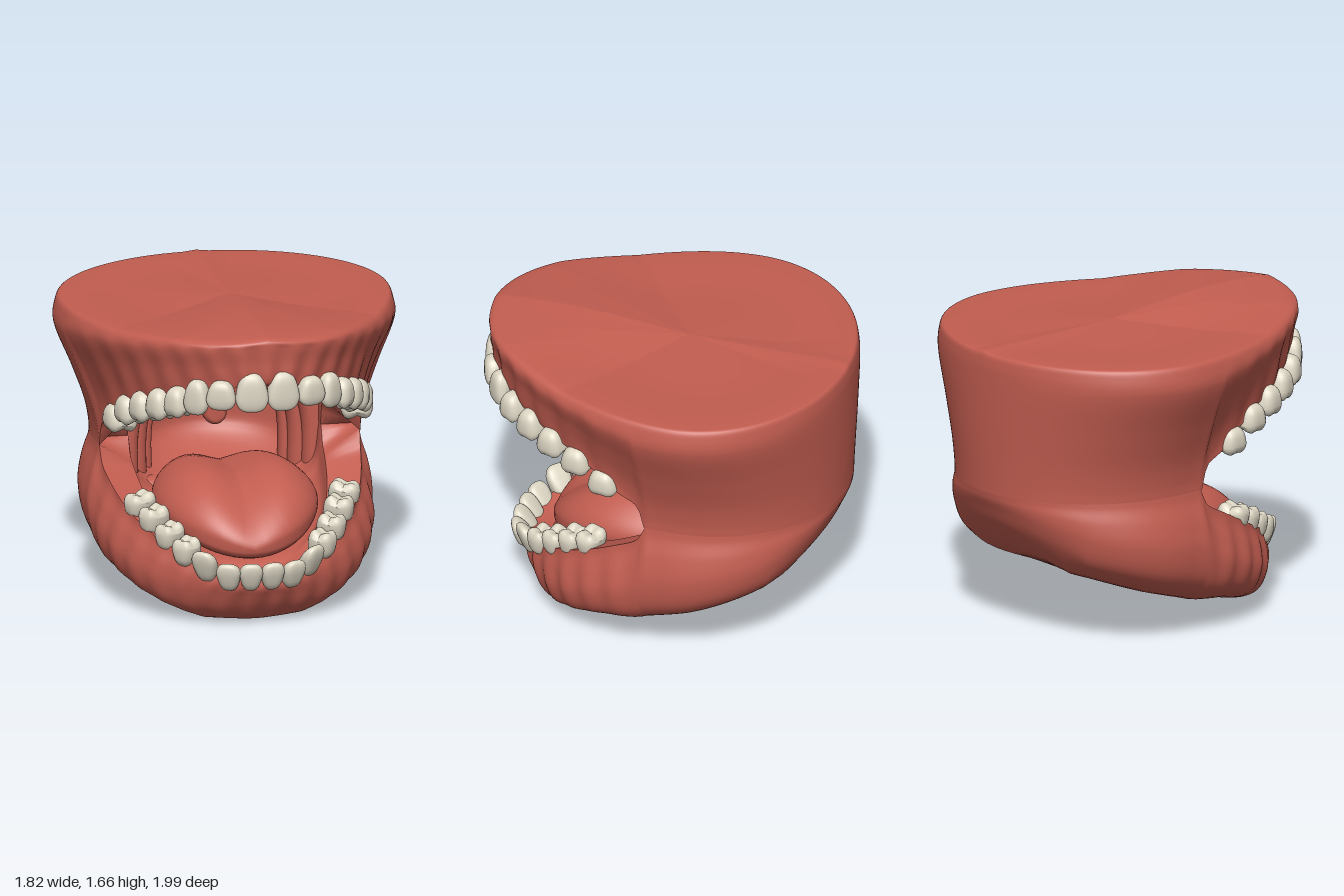
import * as THREE from 'three';
import { toCreasedNormals } from 'three/addons/utils/BufferGeometryUtils.js';

const flesh = new THREE.MeshStandardMaterial({ color: 0xc25d50, side: THREE.DoubleSide });
flesh.name = 'flesh red';
const ivory = new THREE.MeshStandardMaterial({ color: 0xdcd5c3 });
ivory.name = 'tooth ivory';

// Height as a function of depth, from a few [z, y] points running front to back
const along = (pts) => (z) => {
  if (z >= pts[0][0]) return pts[0][1];
  for (let i = 1; i < pts.length; i++) {
    const [z0, y0] = pts[i - 1], [z1, y1] = pts[i];
    if (z >= z1) return y0 + (y1 - y0) * (z0 - z) / (z0 - z1);
  }
  return pts[pts.length - 1][1];
};
const topY = along([[0.97, 1.65], [0.75, 1.668], [0.4, 1.655], [0.1, 1.61], [-0.2, 1.595], [-1, 1.585]]);
const roof = (z, x) => Math.max(1.578, topY(z) - 0.11 * Math.abs(x));
const upperLip = along([[0.95, 1.39], [0.74, 1.31], [0.48, 1.22], [0.33, 1.16], [0.17, 1.06], [0.08, 0.99], [0, 0.955], [-0.03, 0.935], [-0.05, 0.88], [-0.065, 0.81]]);
const palateY = along([[0.6, 1.42], [0.2, 1.38], [-0.1, 1.24], [-0.4, 1.12], [-0.75, 1.06]]);
const lowerLip = along([[0.77, 0.27], [0.68, 0.34], [0.57, 0.41], [0.47, 0.46], [0.37, 0.51], [0.27, 0.56], [0.1, 0.65], [0, 0.7], [-0.03, 0.725], [-0.05, 0.76], [-0.065, 0.81]]);
const floorY = along([[0.6, 0.3], [0, 0.4], [-0.75, 0.6]]);
const bottomY = along([[0.8, 0.08], [0.65, 0.01], [0.55, -0.005], [0.2, 0.105], [0, 0.14], [-0.3, 0.235], [-0.7, 0.38], [-0.9, 0.56], [-1, 0.68]]);
const mix = (f, g, t) => (z, x) => f(z, x) + (g(z, x) - f(z, x)) * t;

// Horseshoe ring: half width, front z, back z, front pinch, height rule, root ripple
const ZC = -0.24;
function ringPoint([w, f, b, pinch, yOf, ripple = 0], a) {
  const c = Math.cos(a), s = Math.sin(a);
  const zc = w === 0 ? f : ZC;
  const swell = 1 + (c > 0 ? ripple * Math.cos(a * 36) * Math.min(1, c * 3) : 0);
  const z = zc + c * (c > 0 ? f - zc : zc - b) * swell;
  const x = w * s * (c > 0 ? 1 - pinch * Math.sin(2 * a) ** 2 : 1) * swell;
  return new THREE.Vector3(x, yOf(z, x), z);
}

// Skin stretched smoothly through a list of rings
function skin(name, rings, rows, cols = 300) {
  const pos = [], index = [];
  for (let i = 0; i < cols; i++) {
    const a = i / cols * Math.PI * 2;
    const column = new THREE.CatmullRomCurve3(rings.map((r) => ringPoint(r, a)));
    column.getPoints(rows).forEach((p) => pos.push(p.x, p.y, p.z));
  }
  const id = (r, c) => (c % cols) * (rows + 1) + r;
  for (let c = 0; c < cols; c++) for (let r = 0; r < rows; r++) {
    index.push(id(r, c), id(r + 1, c), id(r + 1, c + 1), id(r, c), id(r + 1, c + 1), id(r, c + 1));
  }
  const g = new THREE.BufferGeometry();
  g.setAttribute('position', new THREE.Float32BufferAttribute(pos, 3));
  g.setIndex(index);
  g.computeVertexNormals();
  const m = new THREE.Mesh(g, flesh);
  m.name = name;
  return m;
}

// Rounded tooth, biting edge up and outer face towards +z
function toothGeometry(halfW, halfH, halfD, molar) {
  const g = new THREE.SphereGeometry(1, 22, 16), p = g.attributes.position;
  const square = (v, e) => Math.sign(v) * Math.abs(v) ** e;
  for (let i = 0; i < p.count; i++) {
    let x = square(p.getX(i), 0.7), y = square(p.getY(i), 0.75), z = square(p.getZ(i), 0.75);
    const up = (y + 1) / 2;
    x *= 0.72 + 0.28 * Math.min(1, up * 1.5);
    if (molar) {
      if (y > 0.3) y -= 0.3 * (1 - Math.min(1, Math.abs(z) * 1.8)) + 0.14 * (1 - Math.min(1, Math.abs(x) * 2.5));
    } else {
      z = z * (1 - 0.5 * up) + 0.2 * up;
    }
    p.setXYZ(i, x * halfW, y * halfH, z * halfD);
  }
  g.computeVertexNormals();
  return g;
}

// Row of teeth, mirrored; entries are x, z, biting edge y, gum end y
function teethRow(name, list, tilt) {
  const row = new THREE.Group();
  row.name = name;
  list.forEach(([x, z, edge, root], i) => {
    const prev = i ? list[i - 1] : [-x, z], next = list[i + 1] || list[i];
    const dx = next[0] - prev[0], dz = next[1] - prev[1];
    const width = Math.hypot(dx, dz) * (next === list[i] ? 1 : 0.5);
    const molar = i > 2, halfH = Math.abs(edge - root) / 2;
    const g = toothGeometry(width * 0.56, halfH, molar ? 0.06 + 0.004 * i : 0.06, molar);
    for (const side of [1, -1]) {
      const t = new THREE.Mesh(g, ivory);
      t.name = molar ? 'molar' : i === 2 ? 'canine' : 'incisor';
      const holder = new THREE.Group();
      holder.name = 'tooth';
      if (edge < root) t.rotation.z = Math.PI;
      t.rotation.x = molar ? tilt * 0.3 : tilt;
      holder.rotation.y = side * Math.atan2(-dz, dx);
      holder.position.set(side * x, (edge + root) / 2, z);
      holder.add(t);
      row.add(holder);
    }
  });
  return row;
}

// Fleshy wall with an arched opening, given by the right half of the arch
function throatArch(name, half, z, bevel) {
  const s = new THREE.Shape();
  s.moveTo(-0.54, 0.43).lineTo(0.54, 0.43).lineTo(0.57, 1.18).lineTo(-0.57, 1.18).closePath();
  const pts = [...half.map(([x, y]) => new THREE.Vector2(x, y)),
    ...half.slice(0, -1).reverse().map(([x, y]) => new THREE.Vector2(-x, y))];
  const hole = new THREE.Path();
  hole.setFromPoints(new THREE.SplineCurve(pts).getPoints(60));
  s.holes.push(hole);
  const g = new THREE.ExtrudeGeometry(s, { depth: 0.03, bevelEnabled: true, bevelSize: bevel, bevelThickness: bevel * 1.4, bevelSegments: 6 });
  const m = new THREE.Mesh(toCreasedNormals(g, 0.9), flesh);
  m.name = name;
  m.position.z = z;
  return m;
}

// Tongue with a middle groove and drooping front
function tongue() {
  const g = new THREE.SphereGeometry(1, 48, 36), p = g.attributes.position;
  for (let i = 0; i < p.count; i++) {
    const x = p.getX(i), y = p.getY(i), z = p.getZ(i);
    const groove = y > 0 ? 0.055 * y * Math.exp(-((x / 0.35) ** 2)) : 0;
    const lobe = y > 0 ? 0.03 * Math.sin(Math.min(1, Math.abs(x)) * Math.PI) : 0;
    p.setXYZ(i, x * 0.435, 0.52 - 0.13 * z * Math.max(z, 0) + y * 0.195 - groove + lobe, 0.07 + z * 0.56);
  }
  g.computeVertexNormals();
  const m = new THREE.Mesh(g, flesh);
  m.name = 'tongue';
  return m;
}

export function createModel() {
  const model = new THREE.Group();
  model.name = 'openMouth';
  const wall = (t) => mix(roof, upperLip, t);
  const jaw = (t) => mix(lowerLip, bottomY, t);
  // Inner gum edges open further back, so the cheeks slope into the throat
  const upperInner = (z) => upperLip(z + 0.15), lowerInner = (z) => lowerLip(z + 0.13);
  const upperEdge = [0.71, 0.95, -0.985, -0.03, upperLip], upperInside = [0.52, 0.8, -0.76, -0.05, upperInner];
  const lowerEdge = [0.71, 0.765, -0.985, -0.03, lowerLip], lowerInside = [0.52, 0.64, -0.76, -0.05, lowerInner];

  // Upper jaw: flat top and outer wall, gum ridge, palate
  model.add(skin('upperJaw', [
    [0, -0.1, -0.1, 0, roof],
    [0.45, 0.45, -0.6, 0.08, roof],
    [0.84, 0.9, -0.95, 0.09, roof],
    [0.88, 0.955, -0.985, 0.09, (z, x) => roof(z, x) - 0.006],
    [0.9, 0.97, -0.997, 0.085, wall(0.07)],
    [0.907, 0.97, -1, 0.08, wall(0.18), 0.003],
    [0.81, 0.965, -0.998, 0.03, wall(0.5), 0.006],
    [0.738, 0.965, -0.992, -0.02, wall(0.76), 0.008],
    [0.714, 0.96, -0.987, -0.03, wall(0.92), 0.006],
    upperEdge,
  ], 50));
  model.add(skin('upperGumRidge', [upperEdge, upperInside], 8));
  model.add(skin('palate', [
    upperInside,
    [0.5, 0.73, -0.755, -0.04, mix(upperInner, palateY, 0.5)],
    [0.32, 0.5, -0.58, 0, mix(upperInner, palateY, 0.95)],
    [0, 0.1, 0.1, 0, palateY],
  ], 20));

  // Lower jaw: mouth floor, gum ridge, outer wall and underside
  model.add(skin('mouthFloor', [
    [0, 0.1, 0.1, 0, floorY],
    [0.3, 0.4, -0.55, 0, floorY],
    [0.48, 0.58, -0.755, -0.04, mix(lowerInner, floorY, 0.6)],
    lowerInside,
  ], 16));
  model.add(skin('lowerGumRidge', [lowerInside, lowerEdge], 8));
  model.add(skin('lowerJaw', [
    lowerEdge,
    [0.718, 0.768, -0.983, -0.03, jaw(0.08), 0.004],
    [0.752, 0.768, -0.977, -0.04, jaw(0.26), 0.008],
    [0.773, 0.745, -0.955, -0.05, jaw(0.5), 0.008],
    [0.735, 0.7, -0.91, -0.04, jaw(0.78), 0.004],
    [0.61, 0.635, -0.8, 0, jaw(0.95)],
    [0.3, 0.54, -0.5, 0, bottomY],
    [0, 0.1, 0.1, 0, bottomY],
  ], 40));

  model.add(teethRow('upperTeeth', [
    [0.083, 0.94, 1.25, 1.465], [0.24, 0.905, 1.26, 1.42], [0.355, 0.83, 1.22, 1.41], [0.435, 0.73, 1.175, 1.35],
    [0.505, 0.61, 1.13, 1.31], [0.565, 0.475, 1.085, 1.26], [0.61, 0.325, 1.03, 1.2], [0.637, 0.165, 0.945, 1.11],
  ], -0.12));
  model.add(teethRow('lowerTeeth', [
    [0.057, 0.785, 0.385, 0.215], [0.17, 0.765, 0.385, 0.215], [0.28, 0.695, 0.44, 0.25], [0.365, 0.6, 0.485, 0.32],
    [0.435, 0.495, 0.54, 0.38], [0.497, 0.385, 0.605, 0.44], [0.55, 0.27, 0.65, 0.5],
  ], 0.45));

  model.add(tongue());
  // Throat arches stepping inward; the deepest carries the uvula
  model.add(throatArch('outerThroatArch', [[0.49, 0.49], [0.49, 0.8], [0.43, 0.98], [0.27, 1.08], [0, 1.11]], -0.36, 0.05));
  model.add(throatArch('innerThroatArch', [[0.43, 0.49], [0.43, 0.78], [0.38, 0.93], [0.25, 1.02], [0, 1.06]], -0.44, 0.05));
  model.add(throatArch('softPalateAndUvula', [[0.37, 0.47], [0.37, 0.78], [0.32, 0.91], [0.2, 0.975], [0.1, 0.95], [0.04, 0.87], [0.03, 0.82], [0, 0.8]], -0.5, 0.03));
  return model;
}
